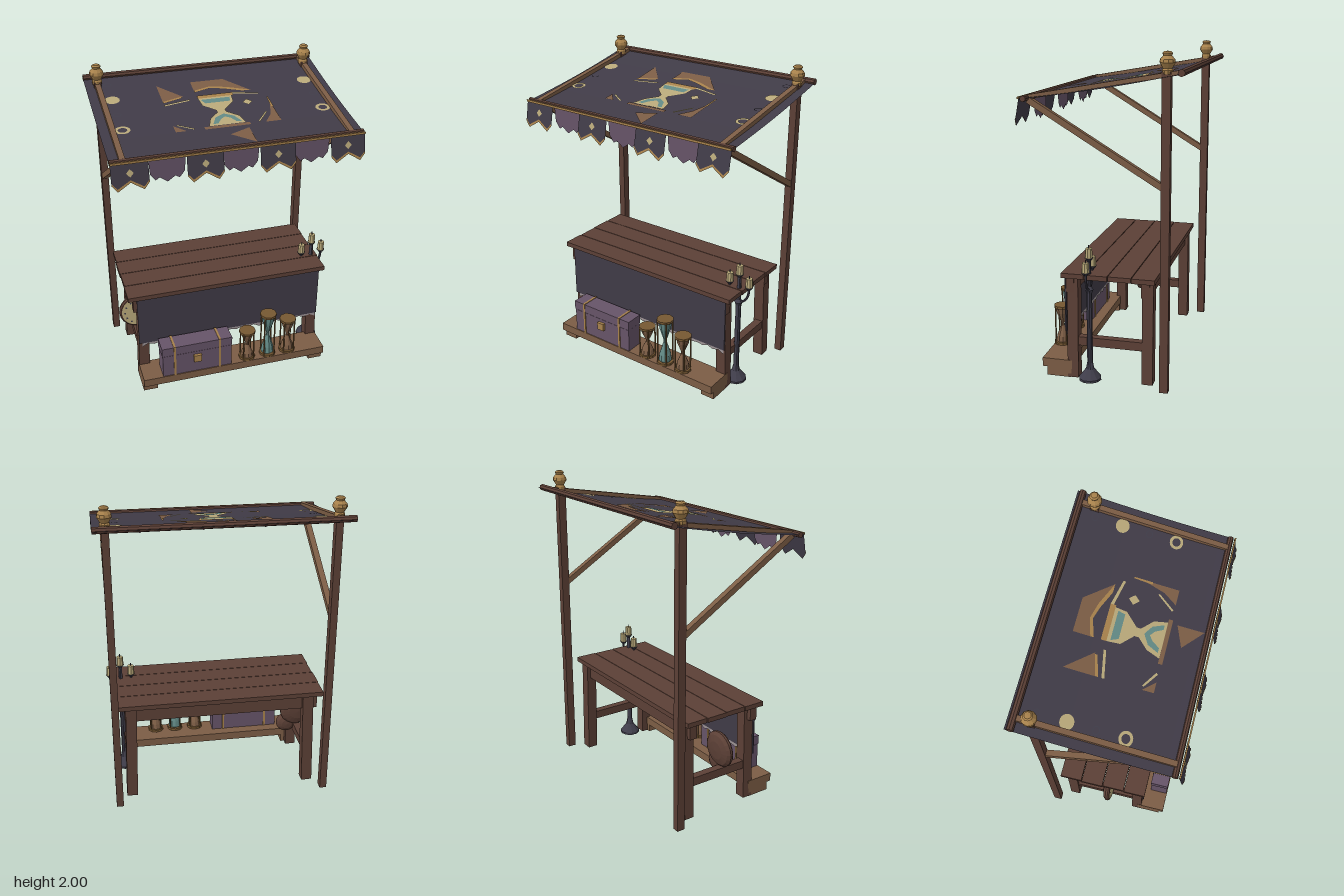
import * as THREE from 'three';

const mat = (name, color, double) => {
  const m = new THREE.MeshStandardMaterial({ color });
  m.name = name;
  m.flatShading = true;
  if (double) m.side = THREE.DoubleSide;
  return m;
};

export function createModel() {
  const root = new THREE.Group();
  root.name = 'marketStall';
  const darkWood = mat('darkWood', 0x5c4036);
  const lightWood = mat('lightWood', 0x7c5d45, true);
  const cloth = mat('darkCloth', 0x403b47, true);
  const purple = mat('purpleCloth', 0x665468, true);
  const gold = mat('gold', 0xa8824c, true);
  const cream = mat('cream', 0xb9a97a, true);
  const teal = mat('teal', 0x628985, true);
  const iron = mat('iron', 0x3f3d4a, true);
  const lace = mat('lace', 0x9c9294, true);
  const brass = mat('oldBrass', 0x765832);

  const add = (name, geo, m, x = 0, y = 0, z = 0, parent = root) => {
    const mesh = new THREE.Mesh(geo, m);
    mesh.name = name;
    mesh.position.set(x, y, z);
    parent.add(mesh);
    return mesh;
  };
  const box = (name, m, x, y, z, w, h, d, parent) =>
    add(name, new THREE.BoxGeometry(w, h, d), m, x, y, z, parent);
  const group = (name, x = 0, y = 0, z = 0) => {
    const g = new THREE.Group();
    g.name = name;
    g.position.set(x, y, z);
    root.add(g);
    return g;
  };
  const lathe = (pts, n) => new THREE.LatheGeometry(pts.map(p => new THREE.Vector2(...p)), n);
  const poly = pts => new THREE.Shape(pts.map(p => new THREE.Vector2(...p)));
  // square beam in the y-z plane, from (y0, z0) to (y1, z1)
  const beam = (name, m, x, y0, z0, y1, z1, w, h) => {
    const b = box(name, m, x, (y0 + y1) / 2, (z0 + z1) / 2, w, h, Math.hypot(y1 - y0, z1 - z0));
    b.rotation.x = -Math.atan2(y1 - y0, z1 - z0);
  };

  // Frame: posts, finials, braces, rafters
  const knob = lathe([[0, -.005], [.03, 0], [.032, .02], [.026, .03], [.045, .062], [.042, .08],
    [.024, .1], [.03, .113], [.02, .122], [0, .124]], 10);
  for (const s of [-1, 1]) {
    box('post', darkWood, s * .68, .945, -.375, .045, 1.89, .052);
    add('finial', knob, gold, s * .68, 1.876, -.377);
    beam('brace', lightWood, s * .68, 1.24, -.36, 1.715, .43, .038, .036);
    beam('rafter', lightWood, s * .68, 1.887, -.46, 1.73, .44, .034, .026);
  }
  for (const [n, y, z, r] of [['frontRail', 1.727, .437, .018], ['backRail', 1.888, -.468, .021]]) {
    add(n, new THREE.CylinderGeometry(r, r, 1.51, 8), darkWood, 0, y, z).rotation.z = Math.PI / 2;
  }

  // Sagging awning
  const height = z => {
    const t = (.455 - z) / .955;
    return 1.725 + .163 * t - .012 * Math.sin(Math.PI * t);
  };
  const drape = (geo, lift) => {
    const p = geo.attributes.position;
    for (let i = 0; i < p.count; i++) p.setY(i, height(p.getZ(i)) + lift);
    geo.computeVertexNormals();
    return geo;
  };
  add('awning', drape(new THREE.PlaneGeometry(1.51, .955, 14, 12).rotateX(-Math.PI / 2)
    .translate(0, 0, -.0225), 0), cloth);

  // Painted awning emblem, outlines given as x, z
  const paint = (name, m, shape, lift = .004) =>
    add(name, drape(new THREE.ShapeGeometry(shape, 12).rotateX(Math.PI / 2), lift), m);
  [
    [[-.325, -.297], [-.19, -.15], [-.325, -.115]],
    [[-.107, -.3], [.105, -.3], [.245, -.145], [.19, -.16], [.1, -.205], [0, -.23], [-.107, -.2]],
    [[.322, -.05], [.322, .218], [.225, .218], [.28, .14], [.31, .04]],
    [[-.325, .15], [-.26, .218], [-.325, .218]],
    [[-.02, .305], [.108, .255], [.108, .415]],
    [[-.15, .2], [.13, .2], [.13, .225], [-.15, .225]],
  ].forEach(p => paint('emblemBrown', lightWood, poly(p)));
  [
    [[-.325, -.115], [-.2, -.15], [-.2, -.135], [-.325, -.098]],
    [[-.107, -.2], [0, -.23], [.1, -.205], [.245, -.145], [.19, -.145], [.08, -.19], [0, -.213], [-.107, -.18]],
    [[-.107, -.14], [.12, -.14], [.12, -.108], [-.107, -.108]],
    [[.316, -.05], [.325, -.05], [.325, .06], [.31, .06]],
  ].forEach(p => paint('emblemGold', gold, poly(p), .006));
  [
    [[-.107, -.108], [.107, -.108], [.1, -.04], [.025, .035], [.025, .06], [.09, .12], [.108, .2],
      [-.108, .2], [-.12, .2], [-.09, .12], [-.03, .06], [-.03, .035], [-.1, -.03]],
    [[.185, -.05], [.215, -.018], [.185, .014], [.153, -.018]],
    [[-.325, -.08], [-.16, -.11], [-.16, -.095], [-.325, -.064]],
    [[.12, -.14], [.28, -.105], [.28, -.09], [.12, -.122]],
    [[.26, .105], [.265, .115], [.19, .212], [.18, .205]],
    [[-.3, .145], [-.205, .205], [-.215, .215], [-.305, .155]],
  ].forEach(p => paint('emblemCream', cream, poly(p), .006));
  [
    [[-.095, -.088], [.09, -.088], [.08, -.045], [-.075, -.045]],
    [[-.09, .185], [-.06, .12], [0, .085], [.055, .12], [.085, .185], [.055, .185], [.03, .14], [0, .118],
      [-.03, .14], [-.06, .185]],
  ].forEach(p => paint('emblemTeal', teal, poly(p), .0085));
  const oval = (x, z, a, b, hole) => {
    const s = new THREE.Shape().absellipse(x, z, a, b, 0, Math.PI * 2);
    if (hole) s.holes.push(new THREE.Path().absellipse(x, z, a * hole, b * hole, 0, Math.PI * 2));
    return s;
  };
  for (const s of [-1, 1]) {
    paint('fullMoon', cream, oval(s * .62, -.195, .046, .04));
    paint('ringMoon', cream, oval(s * .62, .132, .046, .04, .6));
    for (const z of [-.362, -.033]) paint('newMoon', iron, oval(s * .62, z, .026, .02, .8));
  }

  // Valance flags, alternating dark swallowtails and purple points
  const darkFlag = poly([[-.107, 0], [.107, 0], [.107, -.125], [.075, -.165], [0, -.118], [-.075, -.165], [-.107, -.125]]);
  const hem = poly([[-.107, -.125], [-.075, -.165], [0, -.118], [.075, -.165], [.107, -.125],
    [.107, -.112], [.075, -.149], [0, -.104], [-.075, -.149], [-.107, -.112]]);
  const purpleFlag = poly([[-.107, 0], [.107, 0], [.1, -.1], [.07, -.14], [.045, -.125], [0, -.157],
    [-.045, -.125], [-.07, -.14], [-.1, -.1]]);
  const diamond = poly([[0, -.04], [.022, -.064], [0, -.088], [-.022, -.064]]);
  for (let i = 0; i < 7; i++) {
    const dark = i % 2 === 0;
    const g = group('valanceFlag', (i - 3) * .216, 1.732, dark ? .46 : .45);
    add('flag', new THREE.ShapeGeometry(dark ? darkFlag : purpleFlag), dark ? cloth : purple, 0, 0, 0, g);
    if (dark) {
      add('hem', new THREE.ShapeGeometry(hem), gold, 0, 0, .003, g);
      add('diamond', new THREE.ShapeGeometry(diamond), cream, 0, 0, .003, g);
      g.rotation.x = -.19;
    }
  }
  box('valanceTrim', gold, 0, 1.731, .466, 1.51, .013, .009);

  // Table
  for (let i = 0; i < 4; i++)
    box('tablePlank', darkWood, -.012 + (i % 2) * .004, .665, .197 - i * .145, 1.33, .03, .141);
  for (const z of [.222, -.245]) {
    box('apron', darkWood, -.012, .598, z, 1.262, .095, .05);
    for (const s of [-1, 1])
      box('tableLeg', darkWood, s * .585, .322, z - .014, .07, .64, .068).rotation.z = s * .025;
  }
  for (const s of [-1, 1]) box('stretcher', darkWood, s * .59, .24, -.02, .05, .055, .44);

  // Front hanging with ragged lace edge
  box('frontCloth', cloth, 0, .47, .252, 1.24, .345, .008);
  const edge = [[-.6, .31], [.615, .31]];
  for (let i = 0; i <= 30; i++) edge.push([.615 - i * .0405, .272 + (i % 2) * .014 - (i % 5 === 0 ? .008 : 0)]);
  add('laceEdge', new THREE.ShapeGeometry(poly(edge)), lace, 0, 0, .25);

  // Low display bench
  box('benchBoard', lightWood, 0, .083, .31, 1.255, .055, .19);
  for (const s of [-1, 1]) box('benchFoot', lightWood, s * .58, .028, .297, .095, .056, .155);

  // Chest
  const chest = group('chest', -.265, .11, .342);
  box('chestBody', purple, 0, .08, 0, .465, .16, .115, chest);
  box('chestLid', purple, 0, .195, 0, .472, .062, .121, chest);
  box('chestSeam', iron, 0, .162, 0, .46, .01, .112, chest);
  for (const x of [-.152, .152]) box('chestBand', gold, x, .115, 0, .014, .23, .128, chest);
  box('chestLock', gold, 0, .112, .066, .052, .052, .02, chest);

  // Hourglasses
  for (const [x, y, h, m] of [[.09, .112, .222, lightWood], [.235, .112, .33, teal], [.375, .112, .26, lightWood]]) {
    const g = group('hourglass', x, y, .355);
    const bulb = [[.03, .03], [.044, .07], [.038, .2], [.012, .46], [.012, .54], [.038, .8], [.044, .93], [.03, .97]];
    add('glass', lathe(bulb.map(([r, t]) => [r, t * h]), 10), m, 0, 0, 0, g);
    for (const py of [.008, h - .008])
      add('cap', new THREE.CylinderGeometry(.055, .055, .016, 10), brass, 0, py, 0, g);
    for (let i = 0; i < 4; i++) {
      const a = Math.PI / 4 + i * Math.PI / 2;
      add('rod', new THREE.CylinderGeometry(.005, .005, h, 6), brass, .05 * Math.cos(a), h / 2, .05 * Math.sin(a), g);
    }
  }

  // Standing candelabra
  const stand = group('candelabra', .62, 0, .1);
  add('standBase', lathe([[0, 0], [.07, 0], [.07, .014], [.045, .045], [.026, .07], [.018, .11], [.018, .56],
    [.026, .58], [.014, .6], [.012, .77], [0, .77]], 10), iron, 0, 0, 0, stand);
  for (const s of [-1, 0, 1]) {
    const y = s ? .7 : .77;
    if (s) add('arm', new THREE.TubeGeometry(new THREE.QuadraticBezierCurve3(new THREE.Vector3(0, .58, 0),
      new THREE.Vector3(s * .075, .6, 0), new THREE.Vector3(s * .07, .7, 0)), 8, .008, 6), iron, 0, 0, 0, stand);
    add('cup', new THREE.CylinderGeometry(.027, .014, .018, 8), iron, s * .07, y, 0, stand);
    add('candle', new THREE.CylinderGeometry(.021, .024, .06, 8), cream, s * .07, y + .038, 0, stand);
    add('wick', new THREE.CylinderGeometry(.003, .003, .022, 5), iron, s * .07, y + .076, 0, stand);
  }

  // Round dials leaning at the table end
  for (const [x, y, z, r] of [[-.585, .39, 0, .118], [-.52, .272, .035, .07]]) {
    const g = group('dial', x, y, z);
    const body = lathe([[0, -.034], [.5 * r, -.03], [.85 * r, -.018], [r, 0], [r, .014], [.93 * r, .024], [0, .024]], 20);
    add('dialCase', body.rotateX(Math.PI / 2), darkWood, 0, 0, 0, g);
    add('dialFace', new THREE.CircleGeometry(r * .88, 20), cream, 0, 0, .027, g);
    for (let i = 0; i < 12; i++) {
      const a = i * Math.PI / 6;
      add('dialMark', new THREE.CircleGeometry(r * .06, 6), iron, r * .7 * Math.cos(a), r * .7 * Math.sin(a), .03, g);
    }
    g.rotation.x = -.06;
  }
  return root;
}
